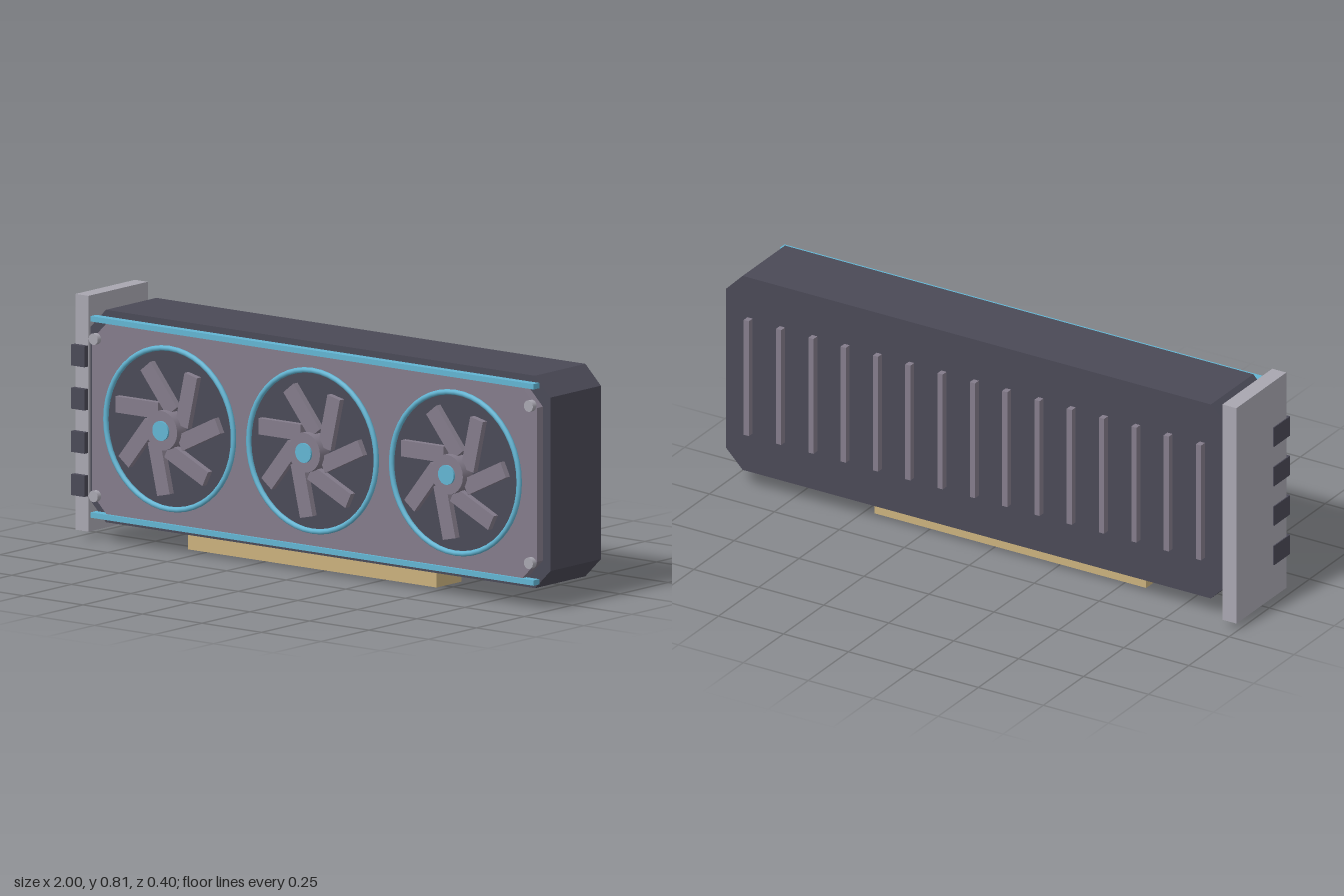
import * as THREE from 'three';

const mat = (name, color) => {
  const m = new THREE.MeshStandardMaterial({ color });
  m.name = name;
  return m;
};

export function createModel() {
  const dark = mat('dark slate', 0x4a4956);
  const grey = mat('mauve grey', 0x837b8a);
  const light = mat('light metal', 0xa8a6b0);
  const blue = mat('sky blue', 0x62b4d2);
  const gold = mat('contact gold', 0xc9b07c);

  const model = new THREE.Group();
  model.name = 'graphicsCard';

  const add = (parent, name, geometry, material) => {
    const mesh = new THREE.Mesh(geometry, material);
    mesh.name = name;
    parent.add(mesh);
    return mesh;
  };

  // Box given by its minimum and maximum on each axis
  const box = (name, material, x0, x1, y0, y1, z0, z1) =>
    add(model, name, new THREE.BoxGeometry(x1 - x0, y1 - y0, z1 - z0), material)
      .position.set((x0 + x1) / 2, (y0 + y1) / 2, (z0 + z1) / 2);

  // Slab with four cut corners, extruded along z
  const slab = (name, material, x0, x1, y0, y1, z0, z1, cut) => {
    const shape = new THREE.Shape([
      [x0 + cut, y0], [x1 - cut, y0], [x1, y0 + cut], [x1, y1 - cut],
      [x1 - cut, y1], [x0 + cut, y1], [x0, y1 - cut], [x0, y0 + cut],
    ].map(([x, y]) => new THREE.Vector2(x, y)));
    const geometry = new THREE.ExtrudeGeometry(shape, { depth: z1 - z0, bevelEnabled: false });
    add(model, name, geometry, material).position.z = z0;
  };

  // Round part facing the front
  const disc = (parent, name, material, r, x, y, z0, z1, sides = 32) => {
    const geometry = new THREE.CylinderGeometry(r, r, z1 - z0, sides).rotateX(Math.PI / 2);
    add(parent, name, geometry, material).position.set(x, y, (z0 + z1) / 2);
  };

  // Housing and front plate
  slab('housing', dark, -0.935, 0.997, 0.065, 0.773, -0.153, 0.11, 0.065);
  slab('frontPlate', grey, -0.905, 0.965, 0.096, 0.739, 0.11, 0.14, 0.065);

  // Accent strips along the top and bottom edges
  for (const y of [0.091, 0.745])
    box('accentStrip', blue, -0.903, 0.958, y - 0.009, y + 0.009, 0.12, 0.149);

  // Three fans
  const blades = 7;
  for (const x of [-0.57, 0.03, 0.63]) {
    const fan = new THREE.Group();
    fan.name = 'fan';
    fan.position.set(x, 0.419, 0);
    model.add(fan);
    disc(fan, 'fanWell', dark, 0.268, 0, 0, 0.138, 0.143, 48);
    add(fan, 'fanRing', new THREE.TorusGeometry(0.268, 0.009, 10, 48), blue).position.z = 0.15;
    for (let i = 0; i < blades; i++) {
      const a = (i / blades) * Math.PI * 2;
      const blade = add(fan, 'fanBlade', new THREE.BoxGeometry(0.178, 0.054, 0.022), grey);
      blade.position.set(Math.cos(a) * 0.136, Math.sin(a) * 0.136, 0.159);
      blade.rotation.z = a + 0.45;
    }
    disc(fan, 'fanHub', grey, 0.066, 0, 0, 0.14, 0.193, 24);
    disc(fan, 'hubCap', blue, 0.033, 0, 0, 0.19, 0.2, 24);
  }

  // Corner screws
  for (const x of [-0.885, 0.943])
    for (const y of [0.156, 0.68])
      disc(model, 'screw', light, 0.019, x, y, 0.138, 0.158, 16);

  // Mounting bracket with ports
  box('bracket', light, -0.996, -0.942, 0.025, 0.811, -0.198, 0.112);
  for (let i = 0; i < 4; i++) {
    const y = 0.178 + i * 0.144;
    box('port', dark, -1, -0.944, y - 0.035, y + 0.035, 0.03, 0.13);
  }

  // Edge connector
  box('edgeConnector', gold, -0.58, 0.465, 0, 0.061, -0.087, 0.043);

  // Ribs on the back
  for (let i = 0; i < 15; i++) {
    const x = -0.837 + i * 0.1243;
    box('backRib', grey, x - 0.01, x + 0.01, 0.208, 0.627, -0.177, -0.152);
  }

  return model;
}
